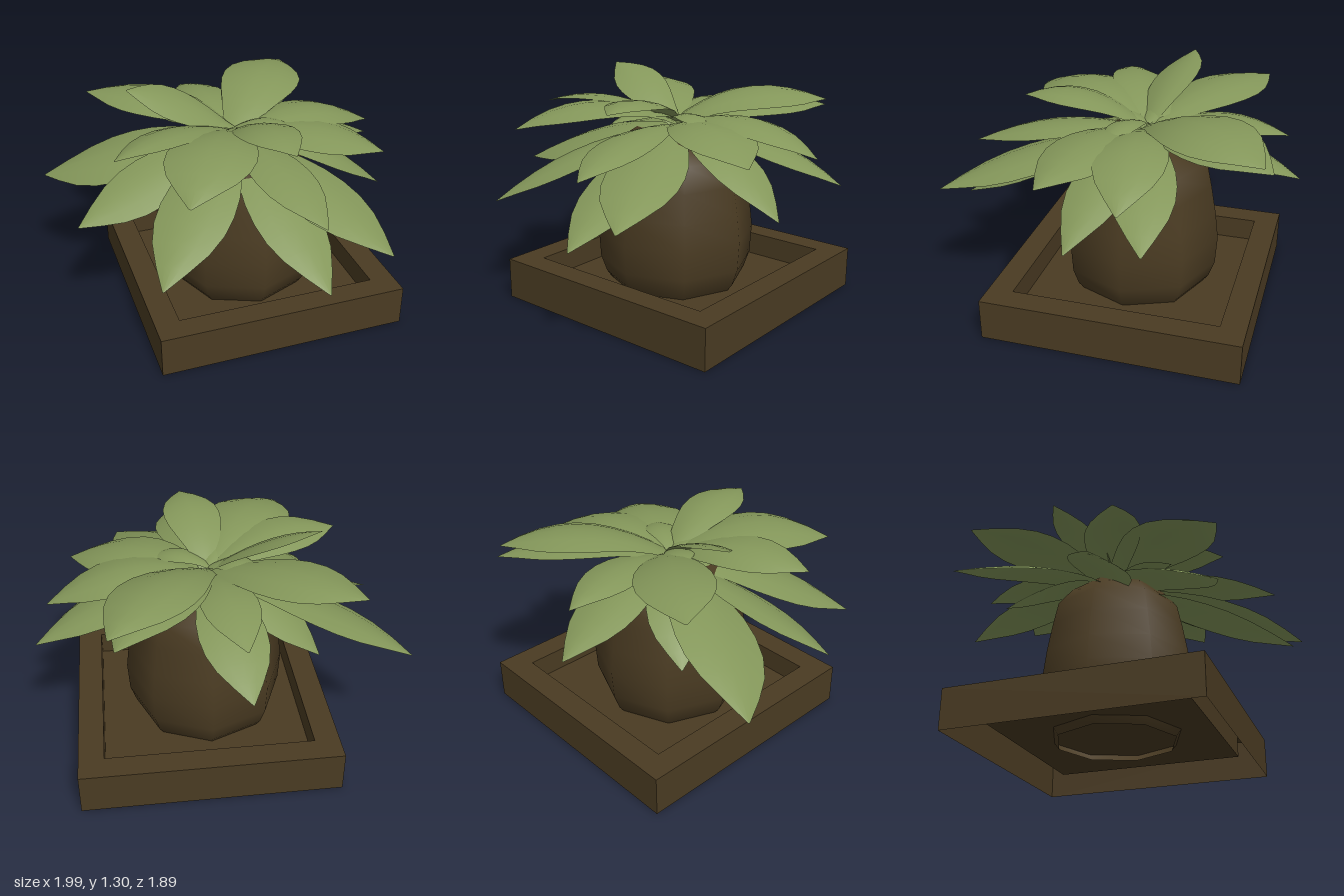
import * as THREE from 'three';

const green = new THREE.MeshStandardMaterial({ color: 0x84975a, side: THREE.DoubleSide });
const brown = new THREE.MeshStandardMaterial({ color: 0x4a3b22, side: THREE.DoubleSide });
const brownFlat = new THREE.MeshStandardMaterial({ color: 0x4a3b22, side: THREE.DoubleSide, flatShading: true });

const pts = (list) => list.map(([x, y]) => new THREE.Vector2(x, y));

// Half-width along a leaf: narrow foot, broad past the middle, pointed tip
const WIDTH = [0.3, 0.45, 0.63, 0.81, 0.95, 1, 0.95, 0.76, 0.42, 0.02];

// A thin curved blade: foot -> arch -> tip, shallow cross curve, rolled about its midrib
function leafGeometry(tip, archY, halfWidth, bend, roll, footY) {
  const foot = new THREE.Vector3(0.04, footY, -0.1);
  const end = new THREE.Vector3(...tip);
  const side = new THREE.Vector3(end.z - foot.z, 0, foot.x - end.x).normalize();
  const arch = foot.clone().lerp(end, 0.5).addScaledVector(side, bend);
  arch.y = archY;
  const spine = new THREE.QuadraticBezierCurve3(foot, arch, end);
  const rows = WIDTH.length - 1, cols = 4;
  const geo = new THREE.PlaneGeometry(1, 1, cols, rows);
  const pos = geo.attributes.position;
  for (let r = 0; r <= rows; r++) {
    const t = r / rows;
    const p = spine.getPoint(t);
    const tangent = spine.getTangent(t);
    const across = new THREE.Vector3(tangent.z, 0, -tangent.x).normalize();
    for (let c = 0; c <= cols; c++) {
      const u = (c / cols) * 2 - 1;
      const w = WIDTH[r] * halfWidth;
      const v = p.clone().addScaledVector(across, u * w);
      v.y += w * (u * roll - u * u * 0.2);
      pos.setXYZ(r * (cols + 1) + c, v.x, v.y, v.z);
    }
  }
  geo.computeVertexNormals();
  return geo;
}

// Each leaf: tip position, arch height, half-width, sideways bend, roll
const lowerLeaves = [
  [[-1.0, 0.69, -0.56], 0.99, 0.22, 0.06, -0.25],
  [[-0.92, 0.71, 0.13], 0.96, 0.17, 0, -0.35],
  [[-0.61, 0.61, 0.7], 0.98, 0.21, 0, 0],
  [[0.2, 0.56, 0.93], 0.9, 0.19, 0, 0],
  [[0.53, 0.73, 0.94], 1.0, 0.21, 0, 0],
  [[0.88, 0.65, 0.1], 1.05, 0.17, 0, 0],
  [[0.99, 0.77, -0.33], 1.07, 0.17, 0, 0],
  [[-0.08, 0.76, -0.95], 1.06, 0.18, 0, 0],
  [[-0.5, 0.71, -0.52], 1.04, 0.16, 0, 0],
];
const middleLeaves = [
  [[0.2, 0.9, 0.85], 1.1, 0.16, 0, 0],
  [[0.8, 0.95, 0.27], 1.18, 0.22, 0, 0],
  [[0.92, 0.93, -0.19], 1.22, 0.19, 0, 0],
  [[0.57, 1.08, -0.87], 1.25, 0.21, 0, 0.15],
  [[-0.06, 1.02, -0.87], 1.2, 0.15, 0, 0],
];
const upperLeaves = [
  [[-0.69, 1.14, -0.67], 1.26, 0.21, -0.04, 0],
  [[-0.71, 1.1, 0.18], 1.25, 0.16, 0, 0.15],
  [[-0.45, 1.04, 0.67], 1.3, 0.24, 0, 0],
  [[0.6, 1.12, -0.83], 1.31, 0.23, 0, 0.1],
  [[0.14, 1.18, 0.57], 1.3, 0.16, 0, 0],
  [[-0.54, 1.3, -0.24], 1.27, 0.14, 0, -0.3],
];
const heartLeaves = [
  [[0.36, 1.05, 0.05], 1.15, 0.08, 0, 0],
  [[-0.08, 1.06, 0.31], 1.15, 0.08, 0, 0],
  [[-0.2, 1.1, -0.2], 1.13, 0.08, 0, 0],
];

function leafLayer(name, leaves, footY) {
  const layer = new THREE.Group();
  layer.name = name;
  for (const shape of leaves) {
    const leaf = new THREE.Mesh(leafGeometry(...shape, footY), green);
    leaf.name = 'leaf';
    layer.add(leaf);
  }
  return layer;
}

export function createModel() {
  const model = new THREE.Group();
  model.name = 'pottedPlant';

  // Square tray: open beneath, with a sunken floor (four-sided lathe)
  const outer = 0.715 * Math.SQRT2, inner = 0.575 * Math.SQRT2;
  const trayProfile = pts([[outer, 0], [outer, 0.235], [inner, 0.235], [inner, 0.1], [0, 0.1]]);
  const tray = new THREE.Mesh(new THREE.LatheGeometry(trayProfile, 4, Math.PI / 4), brownFlat);
  tray.name = 'tray';
  tray.position.set(0.1, 0, -0.095);
  model.add(tray);

  // Rounded eight-sided pot, its open foot reaching just through the tray floor
  const potProfile = pts([[0.35, 0.06], [0.41, 0.14], [0.443, 0.235], [0.453, 0.4], [0.435, 0.55],
    [0.405, 0.72], [0.375, 0.86], [0.29, 0.97], [0, 0.975]]);
  const pot = new THREE.Mesh(new THREE.LatheGeometry(potProfile, 8), brown);
  pot.name = 'pot';
  pot.position.set(0.068, 0, -0.08);
  model.add(pot);

  // Rosette of leaves
  model.add(
    leafLayer('lowerLeaves', lowerLeaves, 1.0),
    leafLayer('middleLeaves', middleLeaves, 1.01),
    leafLayer('upperLeaves', upperLeaves, 1.03),
    leafLayer('heartLeaves', heartLeaves, 1.05),
  );
  return model;
}
